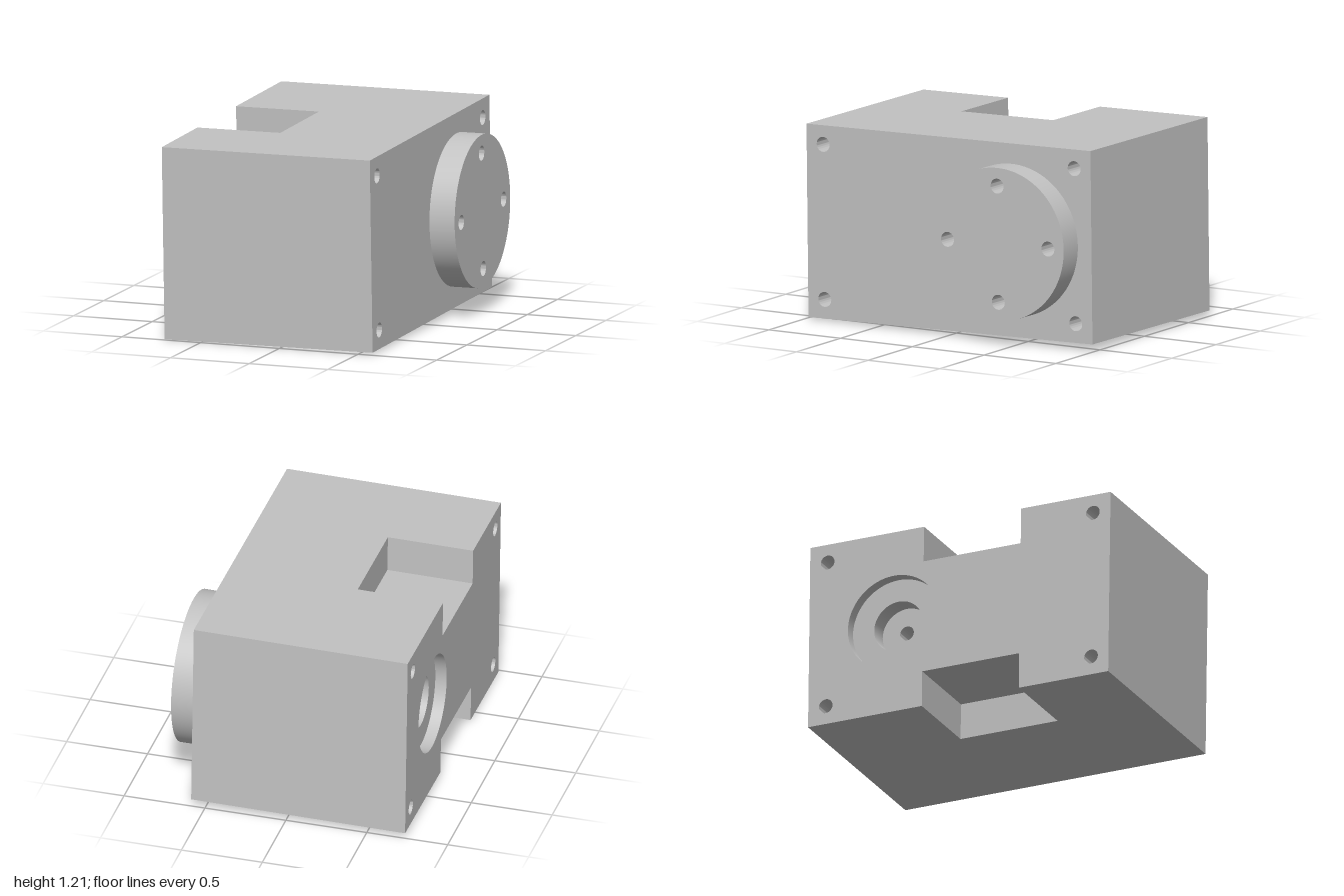
import * as THREE from 'three';
import { mergeGeometries, toCreasedNormals } from 'three/addons/utils/BufferGeometryUtils.js';

// Half sizes of the block, and the main dimensions
const X = 0.661, Y = 0.5825, Z = 0.99;
const notch = { x: -0.134, z0: -0.24, z1: 0.4, depth: 0.225 };
const shaftZ = -0.435, flangeR = 0.46, flangeT = 0.16;
const boltR = 0.045, boltDepth = 0.2;

const corners = [];
for (const z of [-0.875, 0.875]) for (const y of [-0.467, 0.467]) corners.push([z, y, boltR]);
const flangeBolts = [0, 1, 2, 3].map(i => {
  const a = i * Math.PI / 2;
  return [shaftZ + 0.35 * Math.cos(a), 0.35 * Math.sin(a), boltR];
});

// Flat outward face on an axis; points are (z,y), (x,z) or (x,y) for x, y and z faces
const axes = {
  x: [[0, 0, 1], [0, 1, 0], -1],
  y: [[1, 0, 0], [0, 0, 1], -1],
  z: [[1, 0, 0], [0, 1, 0], 1],
};
function panel(axis, sign, offset, outline, holes = []) {
  const [a, b, natural] = axes[axis];
  const flip = sign * natural;
  const shape = new THREE.Shape(outline.map(([p, q]) => new THREE.Vector2(p * flip, q)));
  for (const [p, q, r] of holes) {
    const hole = new THREE.Path();
    hole.absarc(p * flip, q, r, 0, Math.PI * 2, true);
    shape.holes.push(hole);
  }
  const u = new THREE.Vector3(...a).multiplyScalar(flip);
  const v = new THREE.Vector3(...b);
  const n = u.clone().cross(v);
  const m = new THREE.Matrix4().makeBasis(u, v, n);
  m.setPosition(n.multiplyScalar(offset * sign));
  return new THREE.ShapeGeometry(shape, 48).applyMatrix4(m);
}
const rect = (a0, a1, b0, b1) => [[a0, b0], [a1, b0], [a1, b1], [a0, b1]];
const circle = (p, q, r, n = 96) => Array.from({ length: n }, (_, i) => {
  const a = i / n * Math.PI * 2;
  return [p + r * Math.cos(a), q + r * Math.sin(a)];
});

// Turned surface along x, placed on an x face and pointing outward
function turned(profile, sign, x, y, z) {
  const pts = profile.map(([r, h]) => new THREE.Vector2(r, h));
  const g = toCreasedNormals(new THREE.LatheGeometry(pts, 96), 0.6);
  return g.rotateZ(-sign * Math.PI / 2).translate(x, y, z);
}
const blindHole = (sign, x, [z, y, r]) =>
  turned([[r, 0], [r, -boltDepth], [0, -boltDepth]], sign, x, y, z);

function bodyGeometry() {
  const { x, z0, z1, depth } = notch;
  const yn = Y - depth;
  const parts = [
    panel('z', 1, Z, rect(-X, X, -Y, Y)),
    panel('z', -1, -Z, rect(-X, X, -Y, Y)),
    panel('x', 1, X, rect(-Z, Z, -Y, Y), [...corners, [shaftZ, 0, flangeR]]),
    panel('x', -1, -X, [
      [-Z, -Y], [z0, -Y], [z0, -yn], [z1, -yn], [z1, -Y], [Z, -Y],
      [Z, Y], [z1, Y], [z1, yn], [z0, yn], [z0, Y], [-Z, Y],
    ], [...corners, [shaftZ, 0, 0.3]]),
  ];
  // Top and bottom with their matching notches
  for (const s of [1, -1]) {
    const lo = Math.min(s * yn, s * Y), hi = Math.max(s * yn, s * Y);
    parts.push(
      panel('y', s, s * Y, [[-X, -Z], [X, -Z], [X, Z], [-X, Z], [-X, z1], [x, z1], [x, z0], [-X, z0]]),
      panel('y', s, s * yn, rect(-X, x, z0, z1)),
      panel('x', -1, x, rect(z0, z1, lo, hi)),
      panel('z', 1, z0, rect(-X, x, lo, hi)),
      panel('z', -1, z1, rect(-X, x, lo, hi)),
    );
  }
  return mergeGeometries(parts);
}

export function createModel() {
  const grey = new THREE.MeshStandardMaterial({ color: 0xc2c2c2 });
  grey.name = 'machinedGrey';

  const housing = new THREE.Group();
  housing.name = 'tiltedHousing';
  const add = (name, geometry) => {
    const mesh = new THREE.Mesh(geometry, grey);
    mesh.name = name;
    housing.add(mesh);
  };

  add('notchedBlock', bodyGeometry());
  corners.forEach(c => {
    add('cornerHoleRight', blindHole(-1, -X, c));
    add('cornerHoleLeft', blindHole(1, X, c));
  });

  // Stepped bore on the notched side
  add('steppedBore', turned([
    [0.3, 0], [0.3, -0.07], [0.16, -0.07], [0.16, -0.185],
    [0.045, -0.185], [0.045, -0.4], [0, -0.4],
  ], -1, -X, 0, shaftZ));

  // Round output flange with four bolt holes
  add('flangeRim', turned([[flangeR, 0], [flangeR, flangeT]], 1, X, 0, shaftZ));
  add('flangeFace', panel('x', 1, X + flangeT, circle(shaftZ, 0, flangeR), flangeBolts));
  flangeBolts.forEach(b => add('flangeHole', blindHole(1, X + flangeT, b)));

  // Slight tilt of the whole housing
  housing.rotation.set(0.0177, 0, 0.0087);
  housing.position.set(-0.081, 0.606, 0);
  const model = new THREE.Group();
  model.name = 'gearHousing';
  model.add(housing);
  return model;
}
